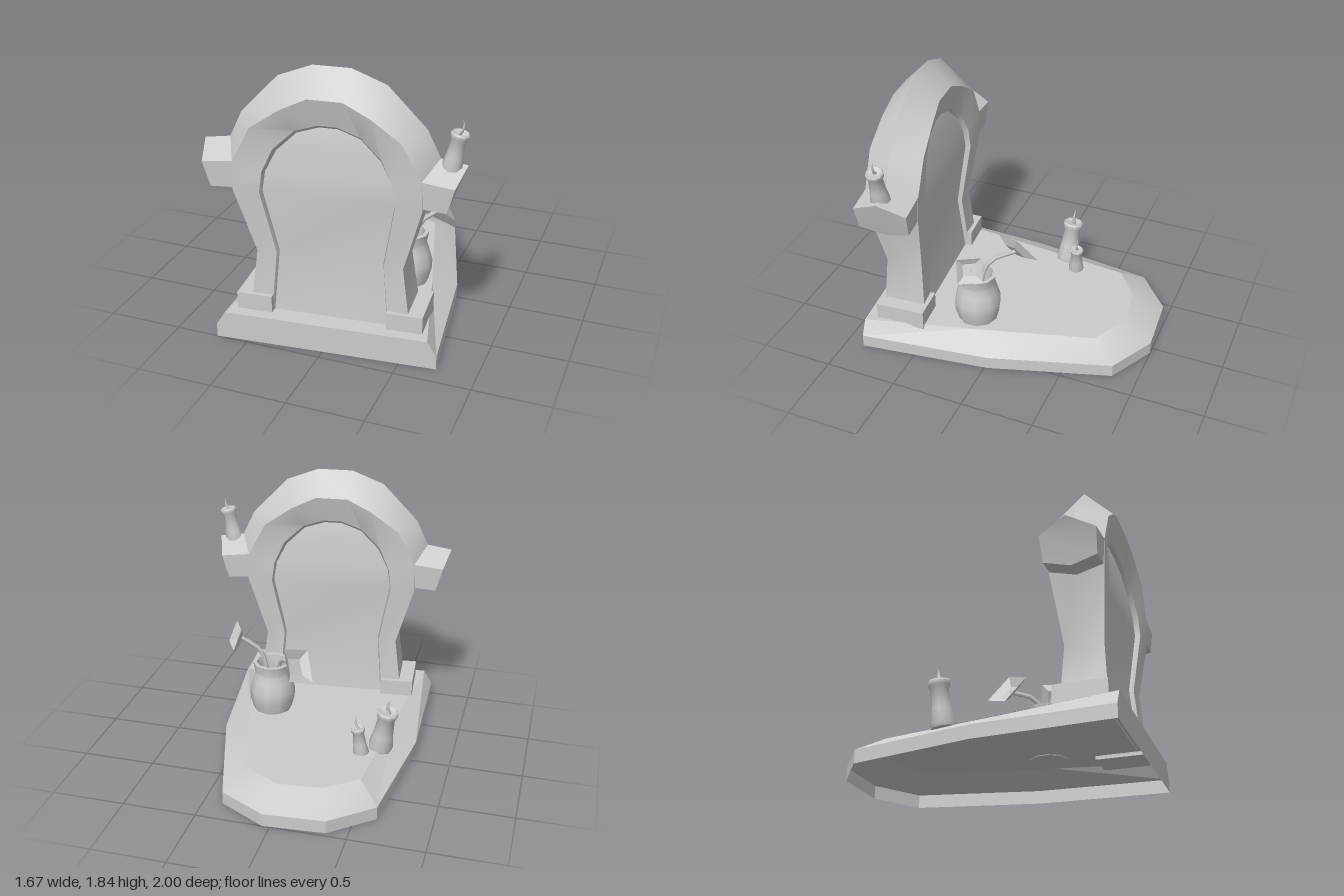
import * as THREE from 'three';
import { toCreasedNormals } from 'three/addons/utils/BufferGeometryUtils.js';

const grey = new THREE.MeshStandardMaterial({ color: 0xcccccc });
const greyDouble = new THREE.MeshStandardMaterial({ color: 0xcccccc, side: THREE.DoubleSide });
const V = (x, y, z) => new THREE.Vector3(x, y, z);

function named(name, geometry, material = grey) {
  const mesh = new THREE.Mesh(geometry, material);
  mesh.name = name;
  return mesh;
}

// Skins a list of cross-sections; optionally closes each ring and caps the last one
function loft(rings, closed = true, cap = false, crease = 0.6) {
  const pts = [];
  for (let i = 0; i < rings.length - 1; i++) {
    const r = rings[i], q = rings[i + 1], n = r.length;
    for (let j = 0; j < (closed ? n : n - 1); j++) {
      const k = (j + 1) % n;
      pts.push(r[j], r[k], q[k], r[j], q[k], q[j]);
    }
  }
  if (cap) {
    const r = rings[rings.length - 1];
    for (let j = 1; j < r.length - 1; j++) pts.push(r[0], r[j], r[j + 1]);
  }
  return toCreasedNormals(new THREE.BufferGeometry().setFromPoints(pts), crease);
}

// Hollow slab with a bevelled top edge
function createSlab() {
  const low = [[-0.71, 1], [0.74, 0.87], [0.62, -0.02], [0.37, -0.83], [0.05, -1],
    [-0.36, -0.97], [-0.64, -0.74], [-0.745, 0.1]];
  const top = [[-0.65, 0.995], [0.68, 0.875], [0.49, 0.15], [0.26, -0.66], [0.01, -0.79],
    [-0.29, -0.76], [-0.5, -0.6], [-0.57, 0.2]];
  const ring = (o, y) => o.map(([x, z]) => V(x, y, z));
  return named('slab', loft([ring(low, 0), ring(low, 0.09), ring(top, 0.19)], true, true, 0.4), greyDouble);
}

function createHeadstone() {
  const group = new THREE.Group();
  group.name = 'headstone';

  // Right half, bottom to top: outer ridge [x,y], then front edge, inner edge, panel edge [x,y,half depth]
  const half = [
    [[0.53, 0.18], [0.53, 0.18, 0.15], [0.385, 0.18, 0.145], [0.375, 0.18, 0.12]],
    [[0.475, 0.61], [0.475, 0.61, 0.125], [0.35, 0.61, 0.115], [0.34, 0.61, 0.085]],
    [[0.6, 1.05], [0.6, 1.05, 0.175], [0.43, 1.04, 0.165], [0.42, 1.04, 0.13]],
    [[0.67, 1.32], [0.59, 1.24, 0.182], [0.41, 1.18, 0.16], [0.4, 1.17, 0.125]],
    [[0.585, 1.5], [0.47, 1.47, 0.185], [0.34, 1.33, 0.14], [0.33, 1.31, 0.11]],
    [[0.34, 1.755], [0.28, 1.6, 0.175], [0.205, 1.455, 0.12], [0.2, 1.435, 0.095]],
    [[0.12, 1.84], [0.11, 1.68, 0.16], [0.06, 1.5, 0.11], [0.06, 1.48, 0.085]],
  ];
  const section = (s, [o, f, i, p]) => [
    V(s * o[0], o[1], 0),
    ...[f, i, p].map(([x, y, d]) => V(s * x, y, d)),
    ...[p, i, f].map(([x, y, d]) => V(s * x, y, -d)),
  ];
  const path = [...half.map(h => section(-1, h)), ...half.map(h => section(1, h)).reverse()];
  group.add(named('archFrame', loft(path)));

  // Panel filling the arch, front and back
  for (const s of [1, -1]) {
    const rows = half.map(([, , , [x, y, d]]) => [V(-s * x, y, s * d), V(s * x, y, s * d)]);
    group.add(named(s > 0 ? 'frontPanel' : 'backPanel', loft(rows, false)));
  }

  for (const s of [1, -1]) {
    const side = s > 0 ? 'left' : 'right';
    // Six-sided shoulder: ridge, front pair, underside ridge, back pair
    const hexagon = (a, b, c, d) => {
      const r = [V(s * a[0], a[1], 0), V(s * b[0], b[1], 0.18), V(s * c[0], c[1], 0.17),
        V(s * d[0], d[1], 0), V(s * c[0], c[1], -0.17), V(s * b[0], b[1], -0.18)];
      return s > 0 ? r : r.reverse();
    };
    group.add(named(side + 'Shoulder', loft([
      hexagon([0.64, 1.33], [0.58, 1.24], [0.58, 1.06], [0.56, 1.02]),
      hexagon([0.835, 1.3], [0.79, 1.215], [0.745, 1.05], [0.73, 1.01]),
    ], true, true, 0.3)));

    // Foot block under each column
    const foot = named(side + 'Foot', new THREE.BoxGeometry(0.235, 0.14, 0.34));
    foot.position.set(s * 0.495, 0.235, 0);
    group.add(foot);
  }
  group.position.z = 0.69;
  group.rotation.y = 0.088;
  return group;
}

// Square cup-shaped bloom: local y is the facing direction, local x follows one edge
function createBloom(center, normal, edge, size) {
  const r = size / Math.SQRT2;
  const cup = new THREE.CylinderGeometry(r, r * 0.5, 0.035, 4, 1, true).rotateY(Math.PI / 4);
  const base = new THREE.CircleGeometry(r * 0.5, 4, Math.PI / 4).rotateX(-Math.PI / 2).translate(0, -0.0175, 0);
  const n = normal.clone().normalize();
  const z = edge.clone().cross(n).normalize();
  const group = new THREE.Group();
  group.name = 'bloom';
  group.add(named('petals', cup.toNonIndexed(), greyDouble), named('bloomCentre', base, greyDouble));
  group.children[0].geometry.computeVertexNormals();
  group.quaternion.setFromRotationMatrix(new THREE.Matrix4().makeBasis(n.clone().cross(z), n, z));
  group.position.copy(center);
  return group;
}

function createFlowerPot() {
  const group = new THREE.Group();
  group.name = 'flowerPot';
  const profile = [[0.001, 0.185], [0.135, 0.185], [0.158, 0.27], [0.162, 0.34], [0.14, 0.42], [0.122, 0.48],
    [0.137, 0.555], [0.11, 0.555], [0.1, 0.48], [0.11, 0.38], [0.001, 0.36]];
  const pot = new THREE.LatheGeometry(profile.map(([x, y]) => new THREE.Vector2(x, y)), 10);
  const potMesh = named('pot', toCreasedNormals(pot, 0.75));
  potMesh.position.set(0.325, 0, 0.175);
  group.add(potMesh);

  const flowers = [
    { c: V(0.09, 0.64, -0.02), n: V(-0.8, 0.53, -0.3), e: V(0.12, 0.08, -0.18), size: 0.23, mid: V(0.24, 0.6, 0.12) },
    { c: V(0.56, 0.75, 0.12), n: V(0.8, 0.38, -0.45), e: V(0.09, 0, 0.16), size: 0.165, mid: V(0.4, 0.62, 0.17) },
  ];
  flowers.forEach(({ c, n, e, size, mid }, i) => {
    const start = V(i ? 0.36 : 0.29, 0.37, 0.18);
    const end = c.clone().addScaledVector(n, -0.015);
    const curve = new THREE.CatmullRomCurve3([start, mid, end]);
    group.add(named('stem', new THREE.TubeGeometry(curve, 6, 0.016, 5)), createBloom(c, n, e, size));
  });
  return group;
}

// Waisted candle with a flared, sunken top and a bent wick
function createCandle(name, base, top, radius, wickHeight) {
  const axis = top.clone().sub(base), h = axis.length();
  const profile = [[0.001, 0], [0.95, 0], [1, 0.08], [0.8, 0.4], [0.68, 0.8], [0.84, 0.88], [0.86, 0.97],
    [0.76, 1], [0.5, 0.96], [0.001, 0.95]];
  const body = new THREE.LatheGeometry(profile.map(([x, y]) => new THREE.Vector2(x * radius, y * h)), 9);
  const wick = new THREE.ConeGeometry(radius * 0.22, wickHeight, 5, 4).translate(0, wickHeight / 2, 0);
  const p = wick.attributes.position;
  for (let i = 0; i < p.count; i++) p.setX(i, p.getX(i) + 0.02 * Math.sin(3 * p.getY(i) / wickHeight) - 0.01);
  wick.computeVertexNormals();
  const wickMesh = named('wick', wick);
  wickMesh.position.y = h * 0.94;
  const group = new THREE.Group();
  group.name = name;
  group.add(named('wax', toCreasedNormals(body, 0.9)), wickMesh);
  group.position.copy(base);
  group.quaternion.setFromUnitVectors(V(0, 1, 0), axis.normalize());
  return group;
}

export function createModel() {
  const model = new THREE.Group();
  model.name = 'grave';
  model.add(
    createSlab(),
    createHeadstone(),
    createFlowerPot(),
    createCandle('largeCandle', V(-0.54, 0.18, -0.17), V(-0.59, 0.48, -0.19), 0.085, 0.12),
    createCandle('smallCandle', V(-0.43, 0.18, -0.275), V(-0.405, 0.38, -0.285), 0.056, 0.1),
    createCandle('shoulderCandle', V(0.73, 1.26, 0.635), V(0.782, 1.51, 0.635), 0.068, 0.1),
  );
  return model;
}
